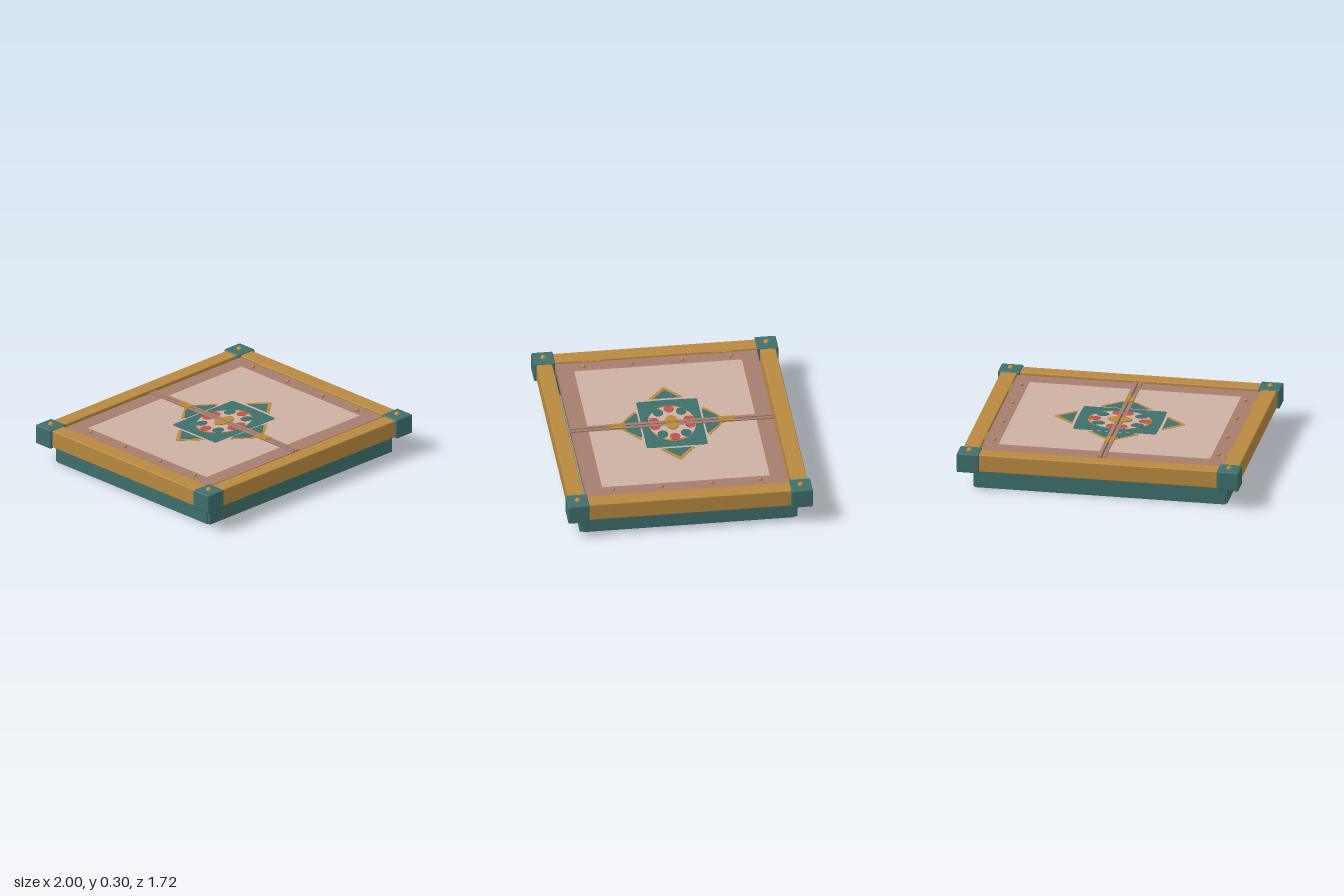
import * as THREE from 'three';
import { RoundedBoxGeometry } from 'three/addons/geometries/RoundedBoxGeometry.js';

const mat = (name, color) => {
  const m = new THREE.MeshStandardMaterial({ color });
  m.name = name;
  return m;
};

export function createModel() {
  const teal = mat('teal paint', 0x3e6f6c);
  const gold = mat('golden wood', 0xb88a40);
  const brown = mat('rose brown', 0xa57d6c);
  const cream = mat('pale rose', 0xcbb1a2);
  const red = mat('red paint', 0xc2504a);

  const root = new THREE.Group();
  root.name = 'doubleHatch';

  const add = (parent, name, geometry, material, x = 0, y = 0, z = 0) => {
    const mesh = new THREE.Mesh(geometry, material);
    mesh.name = name;
    mesh.position.set(x, y, z);
    parent.add(mesh);
    return mesh;
  };
  // box given by its limits; a radius softens the edges
  const box = (parent, name, material, [x0, x1], [y0, y1], [z0, z1], r = 0) => {
    const s = [x1 - x0, y1 - y0, z1 - z0];
    const g = r ? new RoundedBoxGeometry(...s, 2, r) : new THREE.BoxGeometry(...s);
    return add(parent, name, g, material, (x0 + x1) / 2, (y0 + y1) / 2, (z0 + z1) / 2);
  };
  const dome = (parent, name, r, x, y, z) =>
    add(parent, name, new THREE.SphereGeometry(r, 16, 10), gold, x, y, z);

  // base walls, open at the top and bottom
  for (const s of [-1, 1]) {
    box(root, 'baseSideWall', teal, [s * 0.885 - 0.015, s * 0.885 + 0.015], [0, 0.15], [-0.745, 0.745]);
    box(root, 'baseEndWall', teal, [-0.89, 0.89], [0, 0.15], [s * 0.752 - 0.014, s * 0.752 + 0.014]);
  }

  // rim rails
  for (const s of [-1, 1]) {
    box(root, 'endRail', gold, [-0.86, 0.86], [0.147, 0.274], [s * 0.786 - 0.056, s * 0.786 + 0.056], 0.008);
    box(root, 'sideRail', gold, [s * 0.922 - 0.058, s * 0.922 + 0.058], [0.147, 0.274], [-0.72, 0.72], 0.008);
  }

  // corner blocks with studs
  for (const sx of [-1, 1]) for (const sz of [-1, 1]) {
    add(root, 'cornerBlock', new RoundedBoxGeometry(0.155, 0.14, 0.15, 2, 0.008), teal, sx * 0.9225, 0.211, sz * 0.785);
    dome(root, 'cornerStud', 0.021, sx * 0.922, 0.281, sz * 0.785);
  }

  // flat shapes, laid on the panel and raised to a given height
  const TOP = 0.262;
  const plate = (parent, name, material, shape, level, depth = 0.003) => {
    const g = new THREE.ExtrudeGeometry(shape, { depth, bevelEnabled: false, curveSegments: 20 });
    g.rotateX(-Math.PI / 2);
    return add(parent, name, g, material, 0, TOP + level - depth, 0);
  };
  const poly = (...pts) => new THREE.Shape(pts.map(([x, y]) => new THREE.Vector2(x, y)));
  const rect = (x0, x1, y0, y1) => poly([x0, y0], [x1, y0], [x1, y1], [x0, y1]);
  const oval = (x, y, rx, ry) => new THREE.Shape().absellipse(x, y, rx, ry, 0, Math.PI * 2);
  const GAP = 0.006;
  const halfOval = (rx, ry) => new THREE.Shape().absellipse(GAP, 0, rx - GAP, ry, -Math.PI / 2, Math.PI / 2);

  // one door leaf; the other is the same, turned half round
  const makeLeaf = () => {
    const leaf = new THREE.Group();
    leaf.name = 'doorLeaf';
    box(leaf, 'leafBacking', teal, [GAP, 0.86], [0.2, 0.215], [-0.71, 0.71]);
    box(leaf, 'leafPanel', brown, [GAP, 0.86], [0.215, TOP], [-0.71, 0.71]);
    plate(leaf, 'paleField', cream, rect(0.03, 0.75, -0.59, 0.59), 0.002, 0.002);

    // central medallion
    plate(leaf, 'medallionGround', teal, poly([GAP, -0.215], [0.285, -0.215], [0.295, -0.205],
      [0.3, 0], [0.295, 0.205], [0.285, 0.215], [GAP, 0.215]), 0.004);
    plate(leaf, 'medallionRing', gold, halfOval(0.226, 0.165), 0.0055);
    plate(leaf, 'medallionCentre', cream, halfOval(0.208, 0.165), 0.007);
    plate(leaf, 'sidePetal', red, oval(0.178, 0, 0.044, 0.036), 0.0085);

    // side point
    plate(leaf, 'sidePointEdge', gold, poly([0.315, -0.118], [0.33, -0.118], [0.455, -0.015], [0.465, 0],
      [0.455, 0.015], [0.33, 0.118], [0.315, 0.118]), 0.004);
    plate(leaf, 'sidePointGap', cream, rect(0.3, 0.319, -0.12, 0.12), 0.005);
    plate(leaf, 'sidePoint', teal, poly([0.319, -0.095], [0.43, 0], [0.319, 0.095]), 0.0055);

    for (const s of [-1, 1]) {
      plate(leaf, 'diagonalPetal', teal, oval(0.138, s * 0.082, 0.046, 0.037), 0.0085);
      plate(leaf, 'endPetal', red, oval(0.036, s * 0.124, 0.04, 0.037), 0.0085);
      plate(leaf, 'endPointEdge', gold, poly([0.02, s * 0.37], [0.04, s * 0.355], [0.178, s * 0.248],
        [0.175, s * 0.235], [0.15, s * 0.24], [0.02, s * 0.33]), 0.004);
      plate(leaf, 'endPoint', teal, poly([GAP, s * 0.328], [0.055, s * 0.328],
        [0.155, s * 0.235], [0.14, s * 0.228], [GAP, s * 0.228]), 0.0055);
      // gold clasp on the meeting edge
      plate(leaf, 'edgeClasp', gold, rect(GAP - 0.003, 0.03, s * 0.385 - 0.055, s * 0.385 + 0.055), 0.014, 0.009);
      // hinge beside the rail
      box(leaf, 'hinge', gold, [0.855, 0.868], [0.225, 0.268], [s * 0.46 - 0.07, s * 0.46 + 0.07]);
    }

    // meeting edge and centre clasp
    plate(leaf, 'meetingEdge', brown, rect(GAP, 0.03, -0.71, 0.71), 0.0098, 0.0098);
    plate(leaf, 'centreClasp', gold, halfOval(0.088, 0.047), 0.014, 0.009);

    // studs along the hinge side
    for (const z of [-0.518, -0.176, 0.176, 0.518]) dome(leaf, 'leafStud', 0.014, 0.795, 0.27, z);
    return leaf;
  };

  const leftLeaf = makeLeaf();
  const rightLeaf = makeLeaf();
  rightLeaf.rotation.y = Math.PI;
  root.add(leftLeaf, rightLeaf);
  return root;
}
